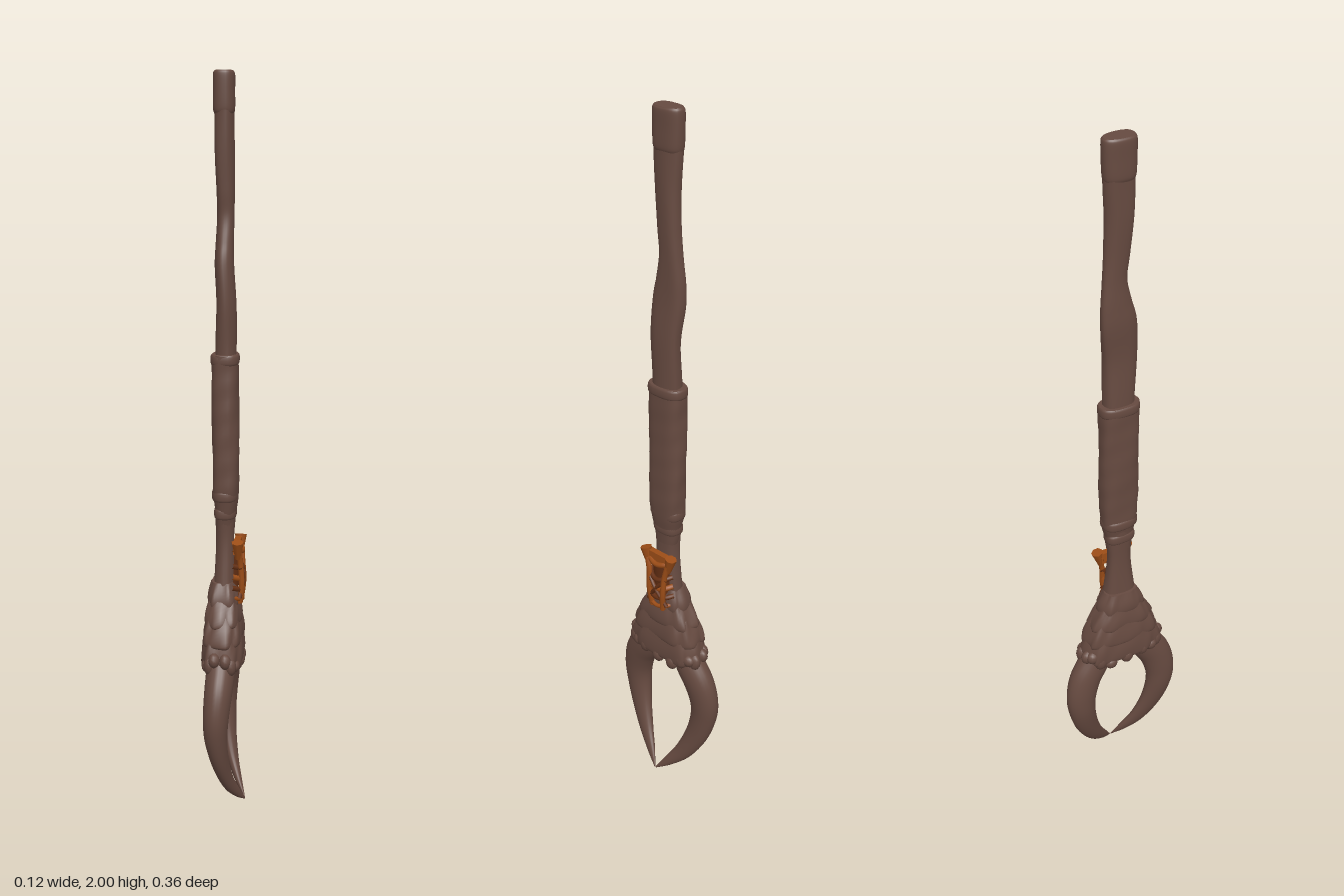
import * as THREE from 'three';

const bark = new THREE.MeshStandardMaterial({ color: 0x664a40 });
bark.name = 'dark brown';
const rust = new THREE.MeshStandardMaterial({ color: 0x9c4d17 });
rust.name = 'rust orange';
const darkRust = new THREE.MeshStandardMaterial({ color: 0x653014 });
darkRust.name = 'dark rust';

// Skin over stations [x, y, z, half-width in x, half-width across], with sections square to the path.
function loft(stations, { sides = 28, sub = 6, square = 1, bump = () => 0 } = {}) {
  const type = sub > 1 ? 'catmullrom' : 'centripetal';
  const path = new THREE.CatmullRomCurve3(stations.map(s => new THREE.Vector3(s[0], s[1], s[2])), false, type);
  const size = new THREE.CatmullRomCurve3(stations.map(s => new THREE.Vector3(s[3], s[4], 0)), false, type);
  const rings = (stations.length - 1) * sub;
  const pos = [], index = [];
  const shape = v => Math.sign(v) * Math.abs(v) ** square;
  const centres = [];
  for (let i = 0; i <= rings; i++) {
    const t = i / rings, c = path.getPoint(t), r = size.getPoint(t);
    const d = path.getPoint(Math.min(1, t + 0.01)).sub(path.getPoint(Math.max(0, t - 0.01)));
    const len = Math.hypot(d.y, d.z) || 1;
    const ny = -d.z / len, nz = d.y / len;
    centres.push(c);
    for (let j = 0; j < sides; j++) {
      const a = j / sides * Math.PI * 2, k = 1 + bump(a, c.y);
      const u = shape(Math.cos(a)) * r.x * k, v = shape(Math.sin(a)) * r.y * k;
      pos.push(c.x + u, c.y + v * ny, c.z + v * nz);
      if (i < rings) {
        const p = i * sides + j, q = i * sides + (j + 1) % sides;
        index.push(p, p + sides, q, q, p + sides, q + sides);
      }
    }
  }
  // Flat caps with their own vertices, so the rims stay sharp
  for (const ring of [0, rings]) {
    const start = pos.length / 3, from = ring * sides * 3;
    pos.push(...pos.slice(from, from + sides * 3), ...centres[ring].toArray());
    for (let j = 0; j < sides; j++) {
      const p = start + j, q = start + (j + 1) % sides;
      index.push(start + sides, ...(ring ? [q, p] : [p, q]));
    }
  }
  const g = new THREE.BufferGeometry();
  g.setAttribute('position', new THREE.Float32BufferAttribute(pos, 3));
  g.setIndex(index);
  g.computeVertexNormals();
  return g;
}

export function createModel() {
  const model = new THREE.Group();
  const add = (name, geometry, material = bark) => {
    const m = new THREE.Mesh(geometry, material);
    m.name = name;
    model.add(m);
    return m;
  };

  // Gnarled wooden shaft
  add('shaft', loft([
    [0, 0.56, 0, 0.034, 0.06], [0, 0.66, 0, 0.029, 0.043], [0, 0.76, 0, 0.025, 0.034],
    [0, 0.86, 0, 0.027, 0.042], [0, 1.0, 0, 0.028, 0.045], [0, 1.14, 0, 0.028, 0.045],
    [0.002, 1.28, 0.001, 0.027, 0.046], [0.004, 1.4, 0.005, 0.026, 0.047], [-0.002, 1.5, -0.002, 0.026, 0.049],
    [-0.002, 1.56, -0.009, 0.024, 0.043], [0, 1.63, -0.012, 0.022, 0.034], [0, 1.7, -0.006, 0.023, 0.035],
    [-0.002, 1.8, 0, 0.026, 0.037], [-0.003, 1.9, 0, 0.026, 0.041],
  ], { square: 0.85, bump: (a, y) => 0.035 * Math.sin(2 * a + y * 16) + 0.02 * Math.sin(5 * a - y * 9) }));

  // Swollen butt end
  add('endCap', loft([
    [-0.003, 1.89, 0, 0.024, 0.039], [-0.003, 1.905, 0, 0.028, 0.043], [-0.003, 1.95, 0, 0.028, 0.045],
    [-0.003, 1.99, 0, 0.028, 0.045], [-0.003, 2, 0, 0.024, 0.041],
  ], { square: 0.8, bump: a => 0.02 * Math.sin(3 * a) }));

  // Wrapped grip, thick at the top and tapering to a neck
  add('grip', loft([
    [0, 0.79, 0, 0.025, 0.034], [0.002, 0.84, 0, 0.028, 0.042], [0.002, 0.89, 0, 0.034, 0.051],
    [0.002, 0.96, 0, 0.035, 0.054], [0.001, 1.06, 0, 0.036, 0.055], [0, 1.16, 0, 0.036, 0.055],
    [0, 1.24, 0, 0.036, 0.055], [0, 1.268, 0, 0.035, 0.055],
  ], { square: 0.75, bump: (a, y) => 0.02 * Math.sin(4 * a + y * 25) + 0.012 * Math.sin(y * 90 + a) }));
  [[1.255, 0.038, 0.057], [0.885, 0.035, 0.052], [0.835, 0.03, 0.043]].forEach(([y, rx, rz]) =>
    add('gripBand', loft([[0, y - 0.014, 0, rx - 0.003, rz - 0.003], [0, y - 0.008, 0, rx, rz],
      [0, y + 0.008, 0, rx, rz], [0, y + 0.014, 0, rx - 0.003, rz - 0.003]],
    { sub: 2, square: 0.75, bump: a => 0.02 * Math.sin(3 * a + y * 40) })));

  // Overlapping scaly tiers of the claw socket: [bottom, top, rx, rz, top rx, top rz]
  const tiers = [
    [0.575, 0.645, 0.041, 0.068, 0.032, 0.047],
    [0.525, 0.6, 0.048, 0.096, 0.038, 0.062],
    [0.475, 0.56, 0.053, 0.114, 0.042, 0.082],
    [0.415, 0.51, 0.055, 0.122, 0.048, 0.1],
  ];
  tiers.forEach(([y0, y1, rx, rz, tx, tz], n) =>
    add('socketTier', loft([
      [-0.004, y0, 0, rx * 0.86, rz * 0.9], [-0.004, y0 + 0.01, 0, rx, rz],
      [-0.004, (y0 + y1) / 2, 0, (rx + tx) / 2 + 0.004, (rz + tz) / 2 + 0.006], [-0.004, y1, 0, tx, tz],
    ], { sides: 40, sub: 4, square: 0.65, bump: (a, y) => 0.035 * Math.sin(7 * a + n * 2) + 0.02 * Math.sin(11 * a + y * 50) })));

  // Rounded underside between the claws
  const belly = add('socketUnderside', new THREE.SphereGeometry(1, 24, 14));
  belly.scale.set(0.04, 0.04, 0.075);
  belly.position.set(-0.004, 0.425, 0);

  // Knobs around the lower rim of the socket
  const knobs = 18;
  for (let i = 0; i < knobs; i++) {
    const a = i / knobs * Math.PI * 2, c = Math.cos(a), s = Math.sin(a);
    const knob = add('rimKnob', new THREE.SphereGeometry(1, 12, 8));
    knob.scale.set(0.016, 0.023 + 0.005 * Math.sin(i * 2.4), 0.02);
    knob.position.set(-0.004 + Math.sign(c) * Math.abs(c) ** 0.6 * 0.043,
      0.418 + 0.025 * Math.abs(s) ** 2 + 0.008 * Math.sin(i * 1.7),
      Math.sign(s) * Math.abs(s) ** 0.75 * 0.116);
  }

  // Pair of curved claws meeting at the tips
  const claw = [
    [-0.005, 0.45, 0.06, 0.036, 0.04], [-0.005, 0.4, 0.088, 0.039, 0.048], [-0.008, 0.35, 0.118, 0.038, 0.049],
    [-0.012, 0.29, 0.134, 0.035, 0.046], [-0.012, 0.23, 0.131, 0.031, 0.041], [-0.003, 0.16, 0.112, 0.024, 0.035],
    [0.014, 0.09, 0.077, 0.017, 0.026], [0.035, 0.04, 0.036, 0.01, 0.015], [0.055, 0.005, 0.002, 0.001, 0.002],
  ];
  for (const side of [1, -1])
    add(side > 0 ? 'frontClaw' : 'backClaw',
      loft(claw.map(([x, y, z, rx, rw]) => [x, y, z * side, rx, rw]), { sides: 24, sub: 5 }));

  // Tattered binding on the left side of the neck
  const cord = (name, points, radius, material) => add(name, new THREE.TubeGeometry(
    new THREE.CatmullRomCurve3(points.map(p => new THREE.Vector3(...p))), 16, radius, 7), material);
  [[0.735, 0.046, 0.008], [0.685, 0.04, 0.007], [0.655, 0.042, 0.008], [0.625, 0.045, 0.007], [0.598, 0.046, 0.006]]
    .forEach(([y, w, r], i) => cord('bindingStrap',
      [[0.022, y + 0.008, -w], [0.04, y, -w * 0.6], [0.047, y - 0.006, 0], [0.04, y, w * 0.6], [0.022, y + 0.008, w]],
      r, i % 2 ? darkRust : rust));
  for (const side of [1, -1]) {
    cord('bindingStrand', [[0.042, 0.585, 0.02 * side], [0.048, 0.64, 0.026 * side],
      [0.044, 0.7, 0.03 * side], [0.04, 0.755, 0.046 * side]], 0.008, rust);
    cord('bindingCross', [[0.042, 0.6, -0.035 * side], [0.05, 0.65, 0],
      [0.044, 0.69, 0.034 * side]], 0.006, darkRust);
    // Flared frayed corner
    const tuft = add('bindingTuft', new THREE.CylinderGeometry(0.017, 0.008, 0.05, 7), rust);
    tuft.position.set(0.038, 0.738, 0.042 * side);
    tuft.rotation.x = 0.25 * side;
  }
  const flap = add('bindingFlap', new THREE.CylinderGeometry(0.046, 0.04, 0.1, 16, 1, true, Math.PI / 2 - 0.8, 1.6), darkRust.clone());
  flap.material = darkRust;
  flap.position.set(-0.004, 0.675, 0);
  const backing = add('bindingBacking', new THREE.BoxGeometry(0.018, 0.035, 0.08), rust);
  backing.position.set(0.034, 0.742, 0);

  return model;
}
